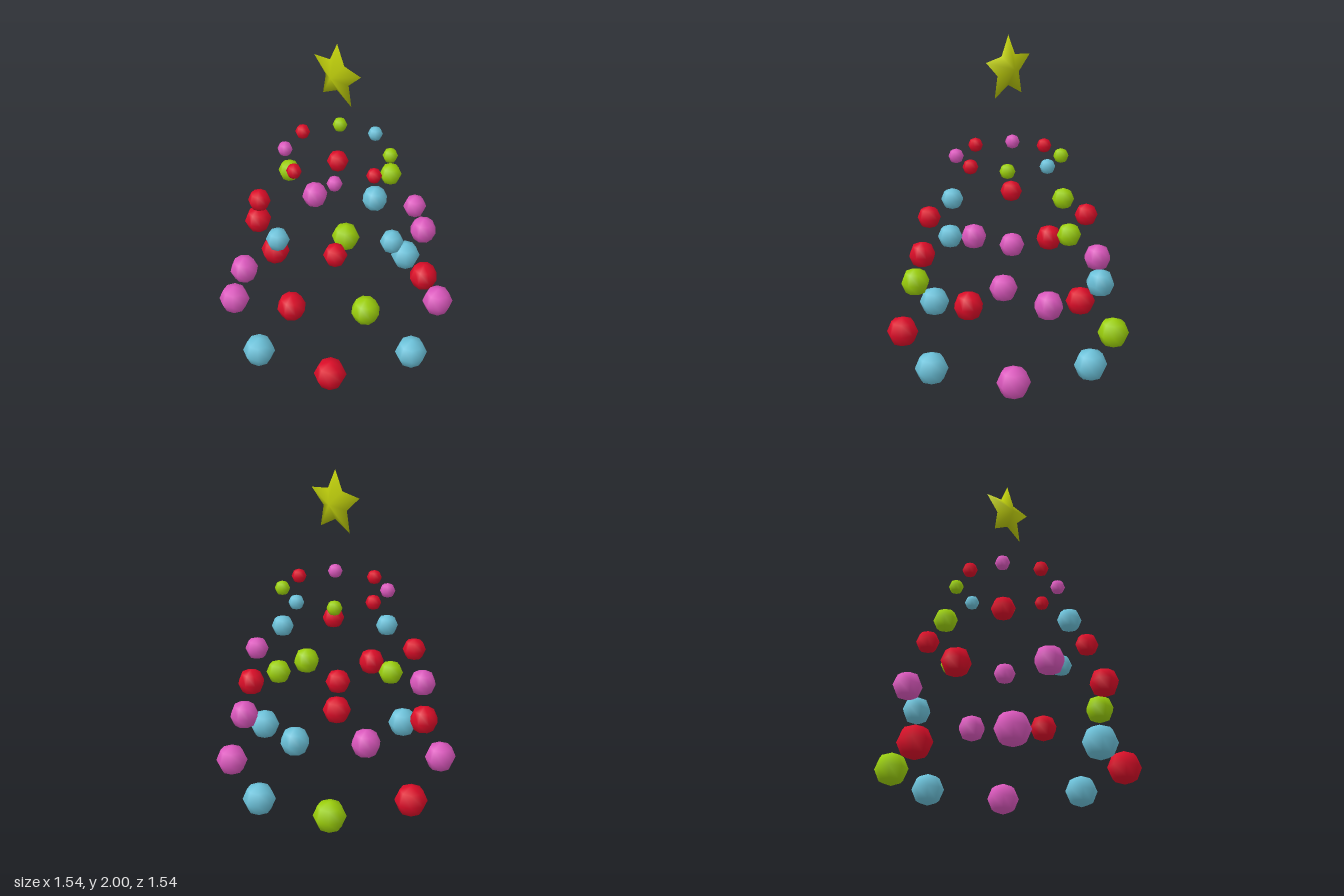
import * as THREE from 'three';

const colour = (name, hex) => {
  const m = new THREE.MeshStandardMaterial({ color: hex });
  m.name = name;
  return m;
};

// Five-pointed star in the yz plane, swelling to an apex on each side
function starGeometry(outer, inner, depth) {
  const points = [depth, 0, 0, -depth, 0, 0];
  const index = [];
  for (let i = 0; i < 10; i++) {
    const r = i % 2 ? inner : outer;
    const a = (i * Math.PI) / 5;
    points.push(0, r * Math.cos(a), r * Math.sin(a));
    const p = 2 + i, q = 2 + ((i + 1) % 10);
    index.push(0, p, q, 1, q, p);
  }
  const g = new THREE.BufferGeometry();
  g.setAttribute('position', new THREE.Float32BufferAttribute(points, 3));
  g.setIndex(index);
  g.computeVertexNormals();
  return g;
}

export function createModel() {
  const group = new THREE.Group();
  group.name = 'treeOrnaments';

  const red = colour('red', 0xdc0d28);
  const pink = colour('pink', 0xdc58be);
  const blue = colour('blue', 0x6cc2da);
  const green = colour('green', 0x9cd00c);
  const gold = colour('yellowGreen', 0xbccb0c);

  // Rings of baubles, from the bottom up: [x, z, colour]
  const rings = [
    { y: 0.102, r: 0.1, baubles: [
      [0.67, 0, blue], [0.475, 0.47, pink], [0, 0.67, blue], [-0.492, 0.455, red],
      [-0.672, 0, blue], [-0.476, -0.48, pink], [0.056, -0.674, red], [0.513, -0.436, green]] },
    { y: 0.534, r: 0.088, baubles: [
      [0.566, -0.21, blue], [0.546, 0.25, pink], [0.206, 0.56, red], [-0.273, 0.531, green],
      [-0.564, 0.2, red], [-0.546, -0.26, pink], [-0.155, -0.585, red], [0.302, -0.525, pink]] },
    { y: 0.884, r: 0.071, baubles: [
      [0.485, 0, green], [0.343, 0.341, pink], [-0.013, 0.483, blue], [-0.339, 0.341, red],
      [-0.482, 0, blue], [-0.307, -0.372, red], [0.044, -0.483, green], [0.343, -0.342, red]] },
    { y: 1.27, r: 0.046, baubles: [
      [0.322, 0.01, blue], [0.215, 0.238, green], [-0.004, 0.317, red], [-0.223, 0.215, pink],
      [-0.306, -0.039, red], [-0.187, -0.25, pink], [0.018, -0.317, red], [0.238, -0.215, green]] },
  ];

  rings.forEach(({ y, r, baubles }, n) => {
    const ring = new THREE.Group();
    ring.name = `baubleRing${n + 1}`;
    const ball = new THREE.SphereGeometry(r, 8, 4);
    for (const [x, z, material] of baubles) {
      const bauble = new THREE.Mesh(ball, material);
      bauble.name = 'bauble';
      bauble.position.set(x, y, z);
      bauble.rotation.y = -Math.atan2(z, x); // each bauble faces outward
      ring.add(bauble);
    }
    group.add(ring);
  });

  // Star on top
  const star = new THREE.Mesh(starGeometry(0.199, 0.098, 0.055), gold);
  star.name = 'topStar';
  star.position.set(0.005, 1.801, 0);
  group.add(star);

  return group;
}
